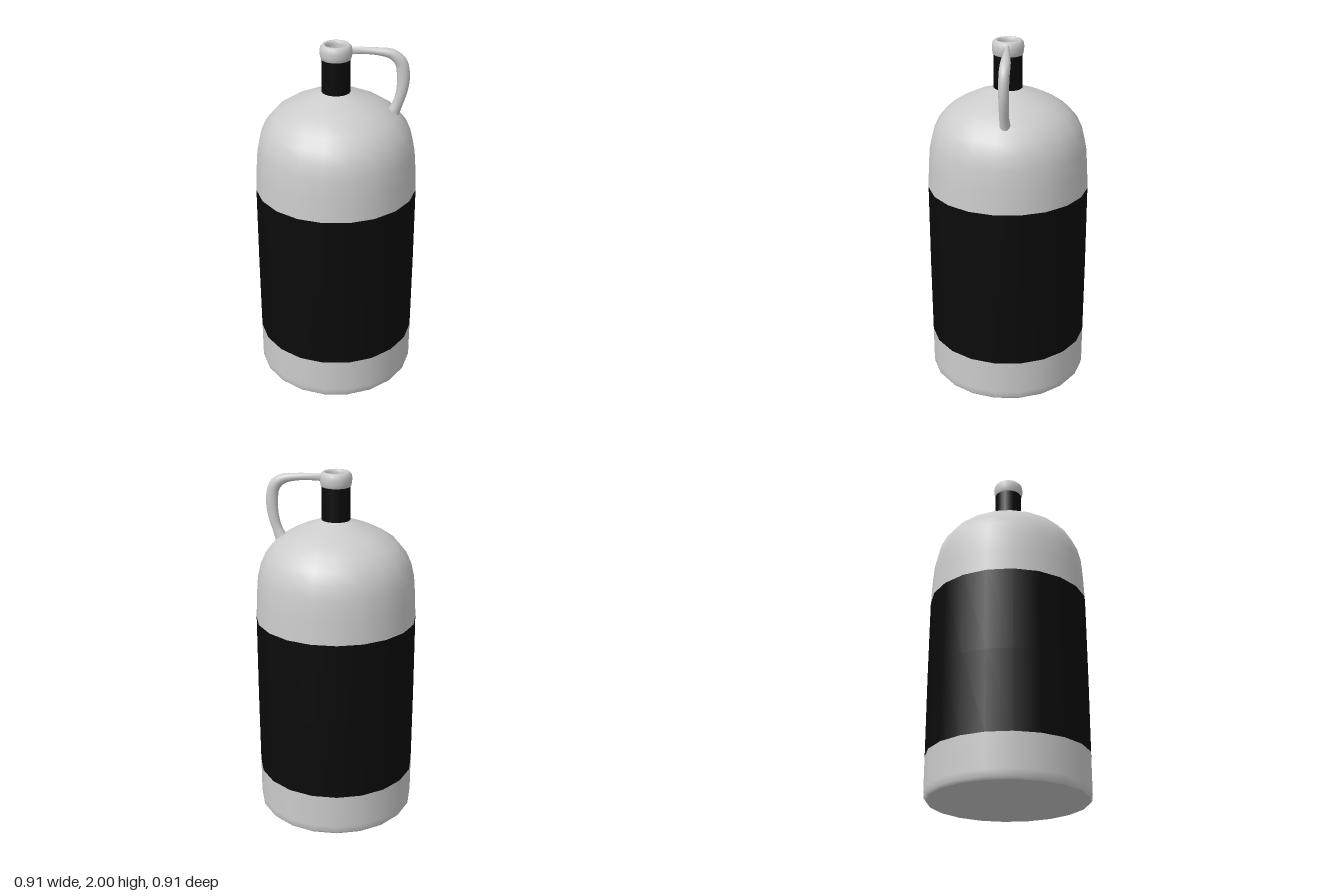
import * as THREE from 'three';

const SIDES = 20;
const grey = new THREE.MeshStandardMaterial({ color: 0xcccccc });
const black = new THREE.MeshStandardMaterial({ color: 0x0a0a0a });

function add(group, name, geometry, material) {
  const mesh = new THREE.Mesh(geometry, material);
  mesh.name = name;
  group.add(mesh);
  return mesh;
}

// Turned part from [radius, height] pairs, listed bottom to top on the outside
function turned(profile) {
  return new THREE.LatheGeometry(profile.map(([r, y]) => new THREE.Vector2(r, y)), SIDES, Math.PI / 2);
}

// Elliptical loft along stations [x, y, z, half width in the bend plane, half depth in z]
function loft(stations, rings, sides) {
  const path = new THREE.CatmullRomCurve3(stations.map(s => new THREE.Vector3(s[0], s[1], s[2])));
  const sizes = new THREE.CatmullRomCurve3(stations.map(s => new THREE.Vector3(s[3], s[4], 0)));
  const pos = [], idx = [];
  for (let i = 0; i <= rings; i++) {
    const t = i / rings, p = path.getPoint(t), d = path.getTangent(t), s = sizes.getPoint(t);
    const len = Math.hypot(d.x, d.y);
    for (let j = 0; j < sides; j++) {
      const a = (j / sides) * Math.PI * 2, u = Math.cos(a) * s.x;
      pos.push(p.x - (d.y / len) * u, p.y + (d.x / len) * u, p.z + Math.sin(a) * s.y);
      if (i < rings) {
        const k = i * sides, n = (j + 1) % sides;
        idx.push(k + j, k + n, k + sides + j, k + n, k + sides + n, k + sides + j);
      }
    }
  }
  const g = new THREE.BufferGeometry();
  g.setAttribute('position', new THREE.Float32BufferAttribute(pos, 3));
  // Outward winding: the ring runs from the normal towards +z, seen along the path
  g.setIndex(idx);
  g.computeVertexNormals();
  return g;
}

export function createModel() {
  const jug = new THREE.Group();
  jug.name = 'jug';

  // Body: foot, dark band, rounded shoulder
  add(jug, 'foot', turned([[0.44, 0], [0.452, 0.015], [0.454, 0.05], [0.454, 0.245]]), grey);
  add(jug, 'band', turned([[0.454, 0.245], [0.455, 0.7], [0.453, 1.17]]), black);
  add(jug, 'shoulder', turned([
    [0.453, 1.17], [0.447, 1.3], [0.438, 1.41], [0.42, 1.485], [0.39, 1.55],
    [0.34, 1.61], [0.27, 1.657], [0.19, 1.695], [0.12, 1.72], [0.075, 1.737],
  ]), grey);
  const base = add(jug, 'base', new THREE.CircleGeometry(0.44, SIDES), grey);
  base.rotation.x = Math.PI / 2;

  // Neck and rolled lip with a recessed mouth
  add(jug, 'neck', turned([[0.079, 1.73], [0.079, 1.92]]), black);
  add(jug, 'lip', turned([
    [0.078, 1.918], [0.083, 1.925], [0.087, 1.945], [0.088, 1.967], [0.084, 1.987],
    [0.074, 1.998], [0.064, 2], [0.057, 1.994], [0.054, 1.98], [0.053, 1.92],
  ]), grey);
  const floor = add(jug, 'mouthFloor', new THREE.CircleGeometry(0.053, SIDES), grey);
  floor.rotation.x = -Math.PI / 2;
  floor.position.y = 1.92;

  // Handle from the lip over to the shoulder, flared at its lower end
  add(jug, 'handle', loft([
    [0.07, 1.966, -0.01, 0.022, 0.008],
    [0.14, 1.966, -0.018, 0.02, 0.014],
    [0.22, 1.962, -0.028, 0.021, 0.021],
    [0.295, 1.948, -0.036, 0.028, 0.028],
    [0.343, 1.905, -0.038, 0.034, 0.029],
    [0.358, 1.83, -0.038, 0.035, 0.028],
    [0.353, 1.75, -0.037, 0.031, 0.027],
    [0.335, 1.68, -0.036, 0.028, 0.026],
    [0.312, 1.625, -0.036, 0.034, 0.029],
    [0.295, 1.59, -0.036, 0.044, 0.036],
  ], 36, 12), grey);

  return jug;
}
